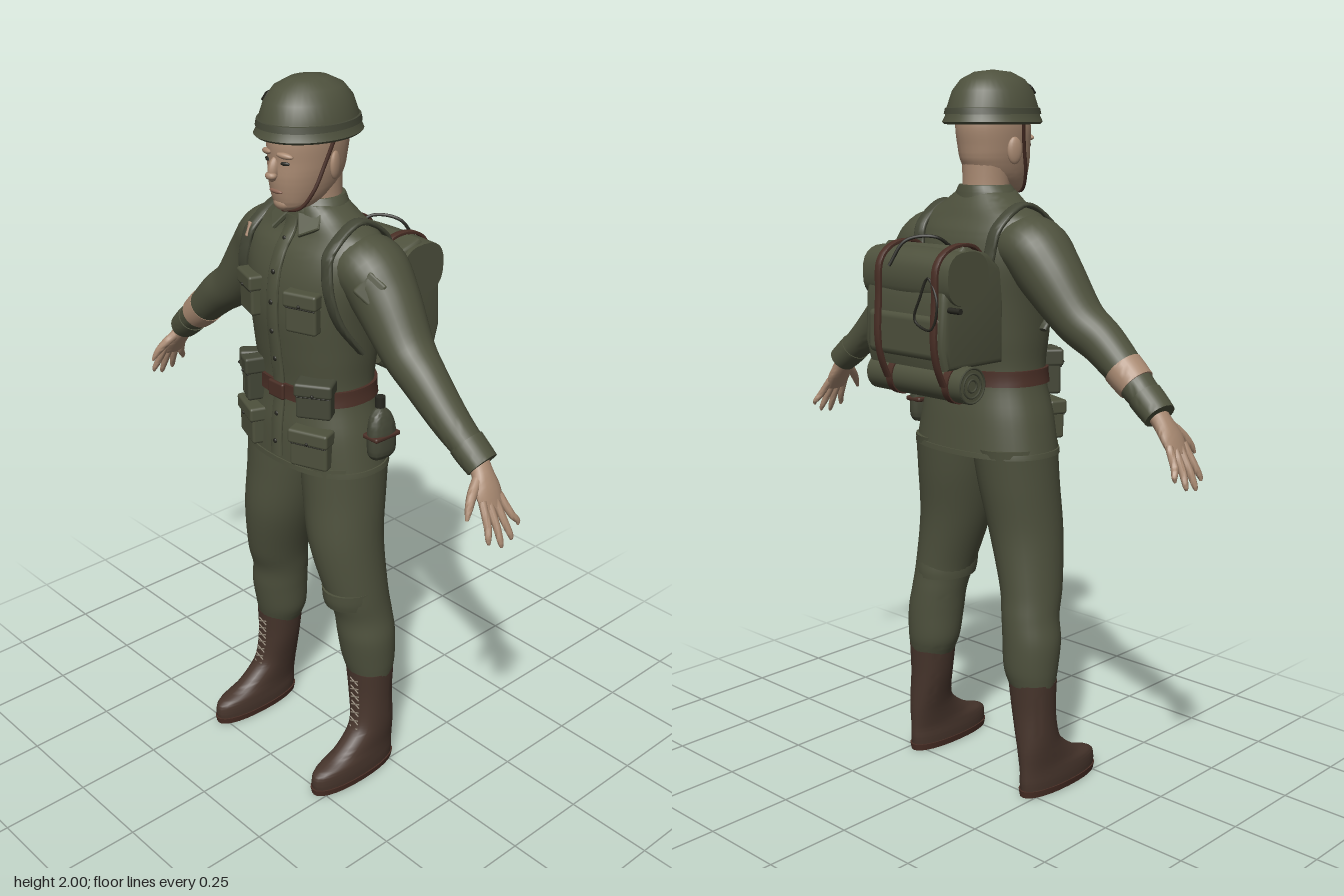
import * as THREE from 'three';
import { toCreasedNormals } from 'three/addons/utils/BufferGeometryUtils.js';
import { RoundedBoxGeometry } from 'three/addons/geometries/RoundedBoxGeometry.js';

const mat = (name, color) => Object.assign(new THREE.MeshStandardMaterial({ color }), { name });
const V = (x, y, z) => new THREE.Vector3(x, y, z);

// Catmull-Rom sample of rows of numbers, t in 0..1
function spline(rows, t) {
  const n = rows.length - 1, i = Math.min(Math.floor(t * n), n - 1), u = t * n - i;
  const p = [-1, 0, 1, 2].map(k => rows[Math.min(Math.max(i + k, 0), n)]);
  return p[1].map((b, k) => {
    const a = p[0][k], c = p[2][k], d = p[3][k];
    return b + 0.5 * u * (c - a + u * (2 * a - 5 * b + 4 * c - d + u * (3 * (b - c) + d - a)));
  });
}

// Skin through rows [x, y, z, ru, rv]. ref: 'flat' level rings, 'z' or 'x' axis-guided rings
function loft(rows, { ref = 'flat', seg = 28, steps = 6, n = 2 } = {}) {
  const N = (rows.length - 1) * steps, pos = [], idx = [];
  const rings = Array.from({ length: N + 1 }, (_, i) => spline(rows, i / N));
  const at = i => V(...rings[Math.min(Math.max(i, 0), N)].slice(0, 3));
  rings.forEach((r, i) => {
    let u = V(1, 0, 0), v = V(0, 0, 1);
    const t = at(i + 1).sub(at(i - 1)).normalize();
    if (ref === 'z') { v.addScaledVector(t, -v.dot(t)).normalize(); u = t.clone().cross(v); }
    if (ref === 'x') { u.addScaledVector(t, -u.dot(t)).normalize(); v = u.clone().cross(t); }
    for (let j = 0; j < seg; j++) {
      const a = j / seg * Math.PI * 2, c = Math.cos(a), s = Math.sin(a);
      const p = at(i).addScaledVector(u, r[3] * Math.sign(c) * Math.abs(c) ** (2 / n))
        .addScaledVector(v, r[4] * Math.sign(s) * Math.abs(s) ** (2 / n));
      pos.push(p.x, p.y, p.z);
    }
  });
  for (let i = 0; i < N; i++) for (let j = 0; j < seg; j++) {
    const a = i * seg + j, b = i * seg + (j + 1) % seg;
    idx.push(a, a + seg, b, b, a + seg, b + seg);
  }
  [0, N].forEach((e, k) => { // end caps
    const c = pos.length / 3, p = at(e);
    pos.push(p.x, p.y, p.z);
    for (let j = 0; j < seg; j++) {
      const a = e * seg + j, b = e * seg + (j + 1) % seg;
      idx.push(c, k ? b : a, k ? a : b);
    }
  });
  const g = new THREE.BufferGeometry();
  g.setAttribute('position', new THREE.Float32BufferAttribute(pos, 3));
  g.setIndex(idx);
  return toCreasedNormals(g, 0.9);
}

export function createModel() {
  const root = new THREE.Group();
  const cloth = mat('olive cloth', 0x4e513d), web = mat('olive webbing', 0x444737);
  const skin = mat('skin', 0xa98a72), boot = mat('boot leather', 0x47352c);
  const belt = mat('belt leather', 0x4a2f26), dark = mat('dark metal', 0x26261f);
  const lace = mat('laces', 0x8a7f70), lip = mat('lips', 0x8c6655);

  const add = (name, geo, m, p = [0, 0, 0], r = [0, 0, 0], s = [1, 1, 1]) => {
    const o = new THREE.Mesh(geo, m);
    o.name = name;
    o.position.set(...p); o.rotation.set(...r); o.scale.set(...s);
    root.add(o);
    return o;
  };
  const box = (w, h, d, r = 0.008) => new RoundedBoxGeometry(w, h, d, 2, Math.min(r, d * 0.45));
  const ball = new THREE.SphereGeometry(1, 16, 12);
  const tube = (pts, r, closed = false) =>
    new THREE.TubeGeometry(new THREE.CatmullRomCurve3(pts.map(p => V(...p)), closed), 32, r, 6, closed);

  // Jacket body
  const torso = [[0, .975, .057, .226, .143], [0, 1.08, .06, .205, .137], [0, 1.19, .06, .176, .125],
    [0, 1.3, .06, .182, .136], [0, 1.4, .06, .192, .145], [0, 1.5, .055, .21, .143],
    [0, 1.57, .05, .212, .125], [0, 1.615, .045, .195, .098], [0, 1.65, .048, .13, .085], [0, 1.685, .055, .078, .072]];
  add('jacket', loft(torso, { n: 2.3, seg: 40 }), cloth);

  // Section of the jacket at height y, and its front or back depth at x
  const dense = Array.from({ length: 91 }, (_, i) => spline(torso, i / 90));
  const section = y => dense.reduce((a, b) => Math.abs(b[1] - y) < Math.abs(a[1] - y) ? b : a);
  const depth = (x, y, side = 1) => {
    const [, , z, rx, rz] = section(y);
    return z + side * rz * (1 - Math.min(Math.abs(x / rx), 1) ** 2.3) ** (1 / 2.3);
  };
  const hoop = (y0, y1, off) => loft([y0, (y0 + y1) / 2, y1].map(y => {
    const [, , z, rx, rz] = section(y);
    return [0, y, z, rx + off, rz + off];
  }), { n: 2.3, seg: 40, steps: 2 });
  add('belt', hoop(1.17, 1.212, .008), belt);
  add('jacketHem', hoop(.976, .99, .004), cloth);
  add('buckle', box(.06, .046, .012), belt, [0, 1.19, .198]);

  // Button placket
  const ys = [1, 1.1, 1.19, 1.3, 1.4, 1.5, 1.57, 1.62, 1.655];
  add('placket', loft(ys.map(y => [0, y, depth(0, y) + .002, .02, .007]), { ref: 'x', n: 5, steps: 3, seg: 16 }), cloth);
  for (let i = 0; i < 8; i++) {
    const y = 1.04 + i * .08;
    add('button', ball, dark, [0, y, depth(0, y) + .009], [0, 0, 0], [.007, .007, .004]);
  }

  // Pocket with flap and button, turned to follow the jacket
  function pocket(name, x, y, w, h, d, m = cloth) {
    const slope = (depth(x + .01, y) - depth(x - .01, y)) / .02;
    const g = new THREE.Group();
    g.name = name;
    const part = (n, geo, mm, py, pz) => {
      const o = new THREE.Mesh(geo, mm);
      o.name = n; o.position.set(0, py, pz); g.add(o);
    };
    part('pouch', box(w, h, d + .02), m, 0, 0);
    part('flap', box(w + .008, h * .38, d + .03), m, h * .32, .002);
    part('seam', box(w * .95, .004, .004), dark, h * .12, d / 2 + .01);
    part('stud', new THREE.SphereGeometry(.005, 8, 6), dark, h * .2, d / 2 + .017);
    g.position.set(x, y, depth(x, y) + d / 2 - .008);
    g.rotation.y = Math.atan2(-slope, 1);
    root.add(g);
  }
  for (const s of [-1, 1]) {
    pocket('chestPocket', s * .102, 1.437, .09, .11, .018);
    pocket('hipPocket', s * .12, 1.057, .11, .108, .022);
  }
  pocket('rightAmmoPouch', -.135, 1.19, .036, .125, .045, web);
  pocket('rightAmmoPouch', -.097, 1.19, .036, .125, .045, web);
  pocket('leftAmmoPouch', .125, 1.2, .095, .1, .045, web);

  // Collar
  add('collar', loft([[0, 1.655, .053, .095, .082], [0, 1.68, .052, .085, .078], [0, 1.7, .048, .07, .07]]), cloth);
  for (const s of [-1, 1]) {
    const sh = new THREE.Shape([[.006, .03], [.07, .045], [.088, -.005], [.05, -.04]].map(p => new THREE.Vector2(s * p[0], p[1])));
    add('lapel', new THREE.ExtrudeGeometry(sh, { depth: .008, bevelSize: .003, bevelThickness: .003, bevelSegments: 1 }),
      cloth, [0, 1.652, .135], [-.75, s * .25, 0]);
  }

  for (const s of [-1, 1]) {
    const side = s > 0 ? 'left' : 'right';
    // Sleeve and cuff
    const arm = [[.11, 1.545, .045, .07, .09], [.185, 1.54, .04, .085, .1], [.245, 1.475, .04, .086, .088],
      [.335, 1.367, .05, .067, .072], [.41, 1.31, .06, .059, .06], [.505, 1.228, .06, .047, .05], [.59, 1.16, .052, .036, .042]];
    const m = rows => rows.map(([x, ...r]) => [s * x, ...r]);
    add(side + 'Sleeve', loft(m(arm), { ref: 'z' }), cloth);
    add(side + 'Cuff', loft(m([[.55, 1.192, .056, .044, .049], [.575, 1.171, .054, .043, .048], [.602, 1.149, .051, .04, .046]]), { ref: 'z', steps: 3 }), cloth);

    // Hand
    add(side + 'Hand', loft(m([[.575, 1.17, .052, .026, .032], [.605, 1.135, .056, .023, .031],
      [.633, 1.095, .062, .018, .041], [.655, 1.055, .064, .011, .036]]), { ref: 'z', seg: 16 }), skin);
    const fingers = [[.094, .69, .985, .112], [.074, .7, .968, .077], [.053, .698, .975, .04], [.034, .688, 1.0, .006]];
    for (const [z, x, y, tz] of fingers)
      add(side + 'Finger', loft(m([[.645, 1.08, z, .01, .011], [(.66 + x) / 2, (1.065 + y) / 2, (z + tz) / 2, .01, .01],
        [x - .003, y + .012, tz, .007, .008], [x, y, tz, .003, .003]]), { ref: 'z', seg: 10, steps: 4 }), skin);
    add(side + 'Thumb', loft(m([[.61, 1.13, .07, .014, .014], [.625, 1.1, .108, .013, .013],
      [.638, 1.07, .133, .01, .01], [.645, 1.045, .146, .004, .004]]), { ref: 'x', seg: 10, steps: 4 }), skin);

    // Trouser leg
    add(side + 'TrouserLeg', loft(m([[.2, .32, .035, .066, .063], [.193, .37, .036, .078, .075], [.19, .45, .042, .082, .083], [.18, .52, .047, .079, .085],
      [.168, .6, .063, .083, .095], [.138, .75, .074, .099, .11], [.119, .89, .063, .108, .121], [.11, 1, .055, .11, .13]])), cloth);

    // Boot, sole and laces
    add(side + 'Boot', loft(m([[.222, .012, .123, .047, .148], [.222, .04, .123, .048, .151], [.222, .066, .117, .046, .145],
      [.221, .09, .085, .044, .113], [.219, .13, .055, .046, .084], [.215, .17, .041, .05, .069],
      [.205, .25, .037, .059, .063], [.2, .335, .036, .067, .066]]), { n: 2.2 }), boot);
    add(side + 'Sole', loft(m([[.222, 0, .123, .047, .15], [.222, .02, .123, .051, .154]]), { n: 2.2, steps: 2 }), belt);
    for (let i = 0; i < 7; i++) for (const k of [-1, 1])
      add('lace', box(.036, .004, .004), lace, [s * (.217 - i * .002), .15 + i * .026, .114 - Math.min(i, 3) * .004], [0, 0, k * .4]);

    // Shoulder strap over to the pack
    const strap = [[.186, 1.32], [.18, 1.4], [.17, 1.48], [.158, 1.55], [.15, 1.6]];
    const path = [...strap.map(([x, y]) => [x, y, depth(x, y) + .012]), [.145, 1.652, .045],
      ...[[.14, 1.6], [.132, 1.53], [.12, 1.45]].map(([x, y]) => [x, y, depth(x, y, -1) - .01])];
    add(side + 'ShoulderStrap', loft(m(path.map(p => [...p, .018, .007])), { ref: 'x', n: 4, seg: 16 }), web);

    // Ear and chin strap
    add(side + 'Ear', ball, skin, [s * .088, 1.79, .07], [0, s * .35, 0], [.01, .036, .022]);
    add(side + 'ChinStrap', tube([[s * .106, 1.87, .085], [s * .09, 1.8, .105], [s * .074, 1.73, .13], [s * .045, 1.685, .15], [0, 1.676, .168]], .005), belt);
    // Eye and brow
    add(side + 'Eye', ball, dark, [s * .034, 1.803, .186], [0, s * .4, 0], [.013, .005, .004]);
    add(side + 'Brow', ball, skin, [s * .034, 1.823, .187], [0, s * .35, -s * .1], [.024, .008, .009]);
  }

  // Bare band on the right sleeve, torn patches, sleeve and knee patches
  add('bareForearm', loft([[-.475, 1.254, .06, .053, .055], [-.497, 1.235, .06, .052, .054], [-.52, 1.216, .06, .049, .052]], { ref: 'z', steps: 3 }), skin);
  add('shoulderTear', box(.03, .04, .008), skin, [-.16, 1.583, depth(-.16, 1.583) + .018], [-.4, -.5, 0]);
  add('sleevePatch', box(.06, .07, .02), cloth, [.258, 1.522, .108], [-.3, .6, -.5]);
  add('kneePatch', loft([[.168, .562, .063, .078, .096], [.168, .585, .066, .08, .1], [.168, .615, .069, .08, .1]], { steps: 3 }), cloth);

  // Head and neck
  add('neck', loft([[0, 1.64, .05, .068, .066], [0, 1.7, .053, .064, .066], [0, 1.77, .055, .066, .068]]), skin);
  add('head', loft([[0, 1.675, .135, .026, .036], [0, 1.69, .121, .05, .06], [0, 1.72, .1, .066, .089], [0, 1.76, .089, .077, .105],
    [0, 1.8, .084, .083, .109], [0, 1.86, .08, .086, .112], [0, 1.92, .075, .075, .09]], { n: 2.15 }), skin);
  add('nose', ball, skin, [0, 1.785, .194], [-.25, 0, 0], [.013, .032, .017]);
  add('noseTip', ball, skin, [0, 1.77, .203], [0, 0, 0], [.017, .011, .014]);
  add('mouth', ball, lip, [0, 1.728, .188], [0, 0, 0], [.024, .006, .007]);
  add('chin', ball, skin, [0, 1.694, .168], [0, 0, 0], [.028, .018, .018]);

  // Helmet with rim and band
  const dome = [[0, 1.975], [.06, 1.96], [.095, 1.91], [.104, 1.868], [.117, 1.858], [.123, 1.864], [.116, 1.88],
    [.111, 1.905], [.099, 1.945], [.078, 1.975], [.045, 1.994], [0, 2]];
  const lathe = p => toCreasedNormals(new THREE.LatheGeometry(p.map(q => new THREE.Vector2(...q)), 40), 0.7);
  add('helmet', lathe(dome), cloth, [0, 0, .078], [0, 0, 0], [1, 1, 1.21]);
  add('helmetBand', lathe([[.113, 1.884], [.119, 1.884], [.116, 1.9], [.108, 1.902]]), web, [0, 0, .078], [0, 0, 0], [1, 1, 1.21]);
  add('helmetPatch', box(.028, .026, .008), dark, [-.062, 1.95, .163], [-.75, -.5, 0]);

  // Backpack from its side profile
  const prof = [[-.05, 1.255], [-.235, 1.255], [-.248, 1.3], [-.242, 1.42], [-.222, 1.5], [-.175, 1.54], [-.1, 1.52], [-.05, 1.48]];
  const pack = new THREE.ExtrudeGeometry(new THREE.Shape(prof.map(p => new THREE.Vector2(...p))),
    { depth: .27, bevelSize: .015, bevelThickness: .015, bevelSegments: 3 });
  pack.translate(0, 0, -.135).rotateY(-Math.PI / 2);
  add('backpack', toCreasedNormals(pack, 0.8), cloth);
  add('packFlap', loft([[-.16, 1.475, -.18, .07, .075], [0, 1.475, -.18, .075, .08], [.16, 1.475, -.18, .07, .075]], { ref: 'z', n: 2.6, seg: 24 }), cloth);
  add('packPocket', box(.27, .12, .05, .02), cloth, [0, 1.325, -.243]);
  for (const x of [-.125, .085]) {
    const rows = [[1.5, -.08], [1.553, -.13], [1.553, -.21], [1.51, -.262], [1.42, -.268], [1.32, -.273], [1.255, -.262], [1.2, -.238]];
    add('packStrap', loft(rows.map(([y, z]) => [x, y, z, .011, .005]), { ref: 'x', n: 4, seg: 12 }), belt);
    add('rollStrap', new THREE.CylinderGeometry(.053, .053, .022, 24), belt, [x, 1.2, -.183], [0, 0, Math.PI / 2]);
  }

  // Bedroll with wound ends
  add('bedroll', new THREE.CylinderGeometry(.049, .049, .35, 28), cloth, [0, 1.2, -.183], [0, 0, Math.PI / 2]);
  for (const s of [-1, 1]) for (const r of [.016, .032, .046])
    add('rollWinding', new THREE.TorusGeometry(r, .003, 6, 24), web, [s * .175, 1.2, -.183], [0, Math.PI / 2, 0]);

  // Cords and peg on the pack
  add('cord', tube([[-.1, 1.48, -.268], [-.14, 1.42, -.275], [-.12, 1.35, -.277], [-.06, 1.37, -.277], [-.08, 1.43, -.276]], .0035, true), dark);
  add('carryLoop', tube([[-.06, 1.54, -.13], [-.04, 1.575, -.18], [.02, 1.565, -.23], [.05, 1.5, -.262]], .0045), dark);
  add('peg', new THREE.CylinderGeometry(.008, .008, .05, 10), dark, [-.165, 1.4, -.24], [0, 0, Math.PI / 2]);

  // Canteen on the left hip
  add('canteen', loft([[.226, 1.02, .03, .018, .032], [.227, 1.04, .03, .026, .043], [.226, 1.1, .03, .026, .043], [.222, 1.14, .03, .02, .032], [.22, 1.16, .03, .011, .013]], { n: 2.5 }), web);
  add('canteenCap', new THREE.CylinderGeometry(.014, .014, .03, 16), dark, [.22, 1.178, .03]);
  add('canteenStrap', box(.057, .014, .09, .006), belt, [.226, 1.085, .03]);
  return root;
}
